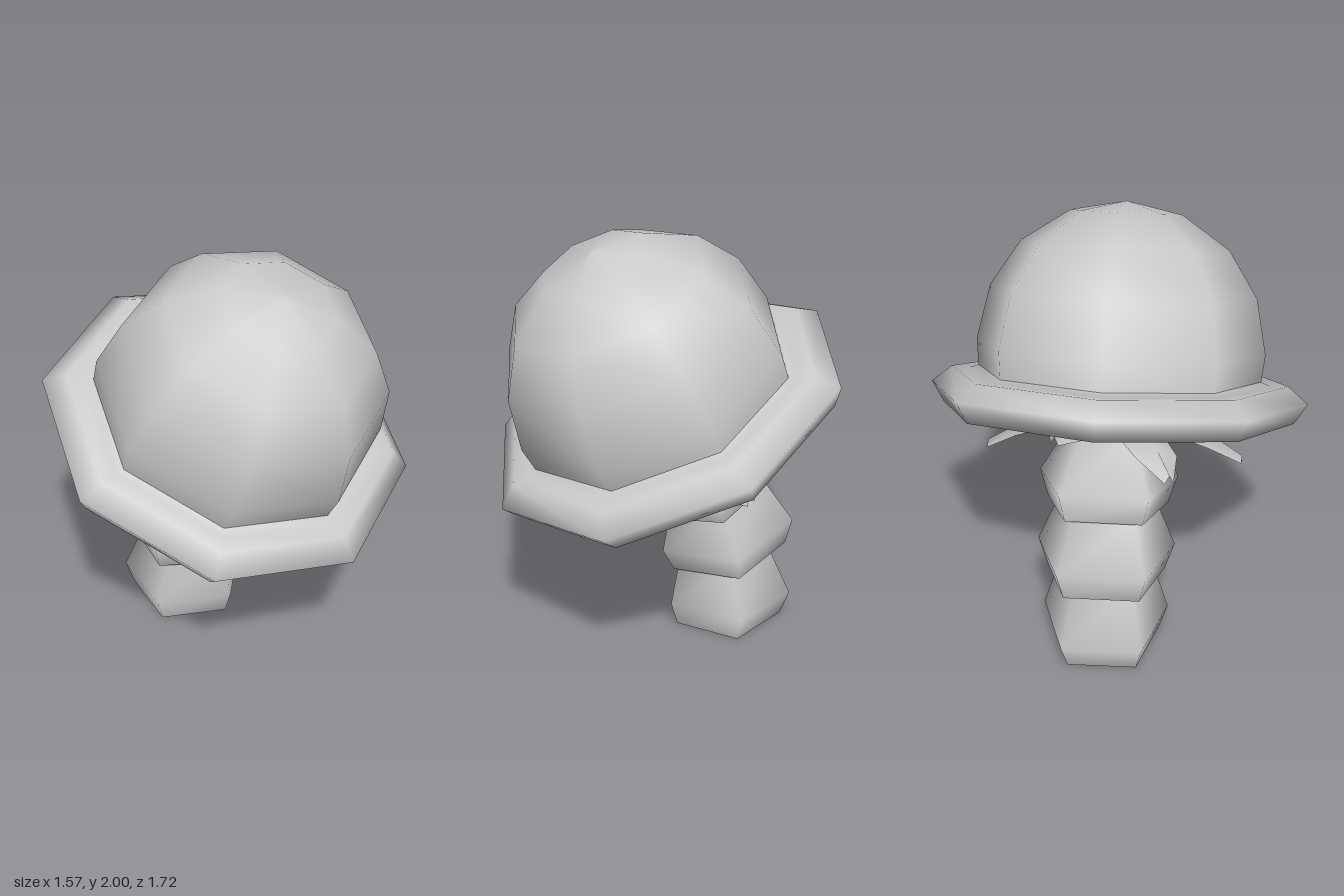
import * as THREE from 'three';

const material = new THREE.MeshStandardMaterial({ color: 0xcccccc });
const leafMaterial = new THREE.MeshStandardMaterial({ color: 0xcccccc, side: THREE.DoubleSide });
const V = (x, y) => new THREE.Vector2(x, y);

function add(parent, name, geometry, mat = material) {
  const mesh = new THREE.Mesh(geometry, mat);
  mesh.name = name;
  parent.add(mesh);
  return mesh;
}

// Skin a stack of tilted five-sided rings: [centre x, centre y, radius, tilt in degrees]
function loftRings(rings, sides = 5) {
  const pos = [], index = [];
  for (const [cx, cy, r, deg] of rings) {
    const t = THREE.MathUtils.degToRad(deg);
    for (let i = 0; i < sides; i++) {
      const a = (i / sides) * Math.PI * 2 - 0.06;
      const u = r * Math.cos(a);
      pos.push(cx + u * Math.cos(t), cy - u * Math.sin(t), r * Math.sin(a) - 0.02);
    }
  }
  for (let k = 0; k < rings.length - 1; k++) {
    if (rings[k] === rings[k + 1]) continue; // repeated ring keeps a sharp edge
    for (let i = 0; i < sides; i++) {
      const p = k * sides + i, n = k * sides + ((i + 1) % sides);
      index.push(p, p + sides, n, n, p + sides, n + sides);
    }
  }
  const g = new THREE.BufferGeometry();
  g.setAttribute('position', new THREE.Float32BufferAttribute(pos, 3));
  g.setIndex(index);
  g.computeVertexNormals();
  return g;
}

// A drooping pointed leaf running out along +x
function leafGeometry(droop, width) {
  // distance out, height, half width
  const rows = [[0.1, -0.07, 0.05], [0.27, -0.09 - droop * 0.1, width], [0.44, -0.08 - droop * 0.5, width * 0.9], [0.58, -0.08 - droop, 0.02]];
  const pos = [], index = [];
  for (const [x, y, w] of rows) pos.push(x, y - 0.02, -w, x, y + 0.015, 0, x, y - 0.02, w);
  for (let k = 0; k < rows.length - 1; k++) {
    for (let j = 0; j < 2; j++) {
      const p = k * 3 + j;
      index.push(p, p + 1, p + 3, p + 1, p + 4, p + 3);
    }
  }
  const g = new THREE.BufferGeometry();
  g.setAttribute('position', new THREE.Float32BufferAttribute(pos, 3));
  g.setIndex(index);
  g.computeVertexNormals();
  return g;
}

export function createModel() {
  const model = new THREE.Group();
  model.name = 'mushroom';

  // Stem: three flared segments, leaning more towards the top
  const stem = new THREE.Group();
  stem.name = 'stem';
  model.add(stem);
  const segments = {
    lowerStem: [[-0.32, 0, 0.27, 0], [-0.325, 0.12, 0.31, 0], [-0.28, 0.4, 0.22, 9]],
    middleStem: [[-0.316, 0.365, 0.29, 9.8], [-0.3, 0.49, 0.335, 10], [-0.24, 0.73, 0.23, 15]],
    upperStem: [[-0.225, 0.697, 0.293, 16], [-0.192, 0.818, 0.335, 16], [-0.09, 1.03, 0.2, 23], [-0.06, 1.14, 0.2, 23.5]],
  };
  for (const [name, rings] of Object.entries(segments)) {
    const [x, y, , tilt] = rings[0];
    add(stem, name, loftRings([[x, y, 0, tilt], rings[0], ...rings]));
  }

  // Cap: tilted eight-sided dome and brim
  const cap = new THREE.Group();
  cap.name = 'cap';
  cap.position.set(0, 1.14, 0);
  cap.rotation.z = THREE.MathUtils.degToRad(-23.5);
  model.add(cap);

  add(cap, 'dome', new THREE.LatheGeometry([
    V(0.64, 0.08), V(0.655, 0.23), V(0.602, 0.478), V(0.467, 0.685), V(0.25, 0.83), V(0, 0.88),
  ], 8));
  add(cap, 'brim', new THREE.LatheGeometry([
    V(0.56, -0.045), V(0.8, -0.07), V(0.858, 0.022), V(0.765, 0.097), V(0.68, 0.095), V(0.64, 0.11),
  ], 8));
  add(cap, 'underside', new THREE.LatheGeometry([V(0, 0.01), V(0.5, 0.04), V(0.56, -0.045)], 8));

  // Ragged leaves around the neck: angle, droop, half width
  const leaves = [[33, 0.17, 0.1], [92, 0.16, 0.16], [150, 0.18, 0.11], [200, 0.04, 0.11], [266, 0.16, 0.14], [327, 0.17, 0.1]];
  for (const [angle, droop, width] of leaves) {
    const leaf = add(cap, 'leaf', leafGeometry(droop, width), leafMaterial);
    leaf.rotation.y = -THREE.MathUtils.degToRad(angle);
  }
  return model;
}
